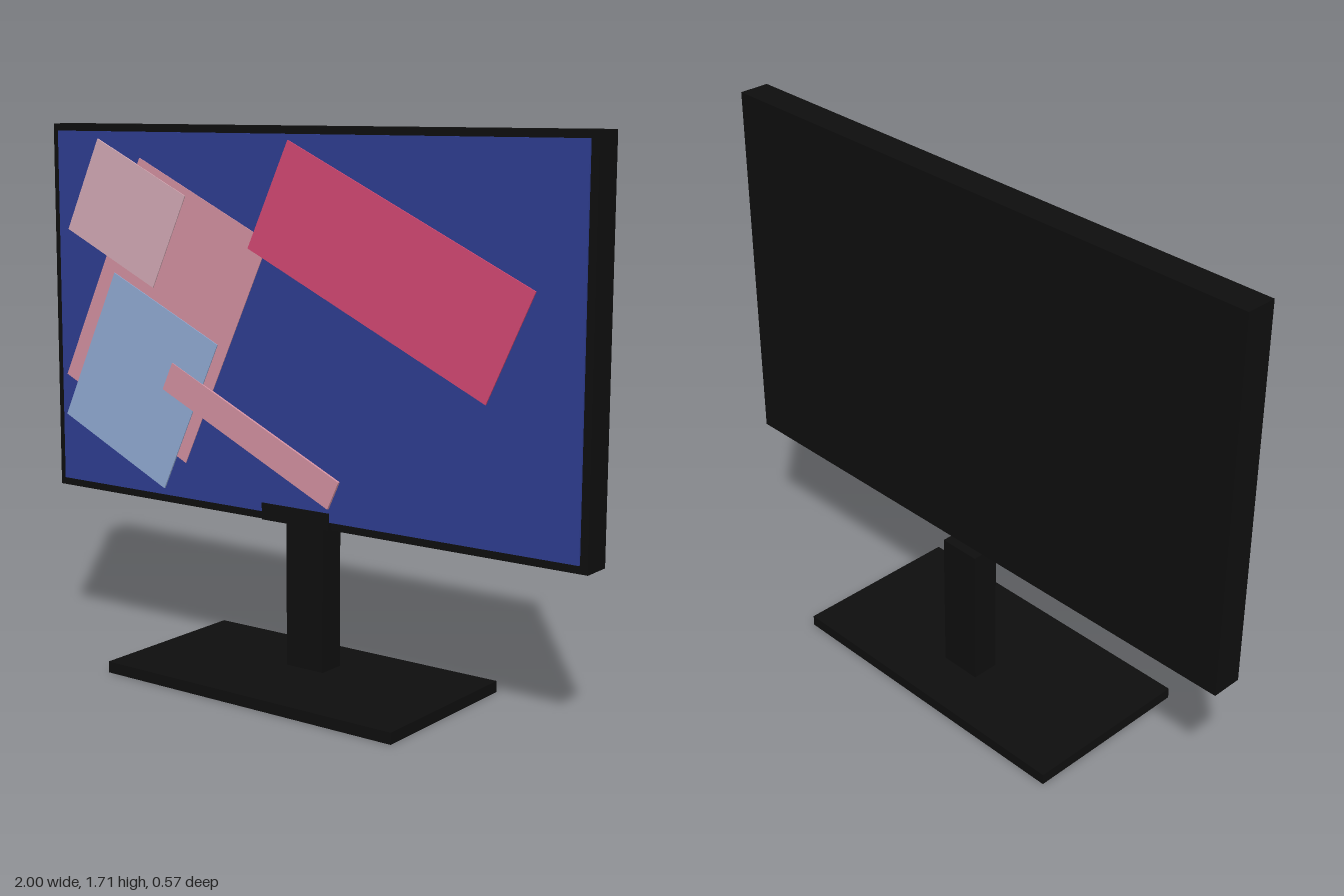
import * as THREE from 'three';

export function createModel() {
  const model = new THREE.Group();
  model.name = 'monitor';

  const material = (name, color) => {
    const m = new THREE.MeshStandardMaterial({ color });
    m.name = name;
    return m;
  };
  const black = material('black', 0x0e0e0e);
  const navy = material('navy', 0x2e3d90);
  const crimson = material('crimson', 0xd24872);
  const rose = material('rose', 0xd290a0);
  const paleRose = material('pale rose', 0xd2a8b4);
  const skyBlue = material('sky blue', 0x90a9d2);

  // Box given by its limits on each axis
  function box(name, mat, [x0, x1], [y0, y1], [z0, z1]) {
    const mesh = new THREE.Mesh(new THREE.BoxGeometry(x1 - x0, y1 - y0, z1 - z0), mat);
    mesh.position.set((x0 + x1) / 2, (y0 + y1) / 2, (z0 + z1) / 2);
    mesh.name = name;
    model.add(mesh);
  }

  // Stand
  box('base', black, [-0.54, 0.54], [0, 0.036], [-0.287, 0.287]);
  box('neck', black, [-0.07, 0.07], [0.036, 0.507], [-0.118, -0.027]);

  // Casing, display panel and the tab at its lower edge
  box('casing', black, [-1, 1], [0.507, 1.713], [-0.086, 0.014]);
  box('displayPanel', navy, [-0.975, 0.975], [0.532, 1.69], [0.014, 0.021]);
  box('lowerTab', black, [-0.128, 0.128], [0.507, 0.56], [0.005, 0.024]);

  // Tilted colour blocks on the display, layered from back to front
  const tilt = -THREE.MathUtils.degToRad(25);
  const blocks = [
    ['largeRoseBlock', rose, -0.527, 1.128, 0.57, 0.795, 0.0235],
    ['crimsonBlock', crimson, 0.323, 1.31, 0.938, 0.362, 0.0255],
    ['paleRoseBlock', paleRose, -0.679, 1.433, 0.405, 0.325, 0.0265],
    ['skyBlueBlock', skyBlue, -0.628, 0.896, 0.474, 0.535, 0.0265],
    ['roseBar', rose, -0.179, 0.77, 0.72, 0.097, 0.0295],
  ];
  for (const [name, mat, x, y, w, h, front] of blocks) {
    const depth = front - 0.0205;
    const mesh = new THREE.Mesh(new THREE.BoxGeometry(w, h, depth), mat);
    mesh.position.set(x, y, front - depth / 2);
    mesh.rotation.z = tilt;
    mesh.name = name;
    model.add(mesh);
  }

  return model;
}
